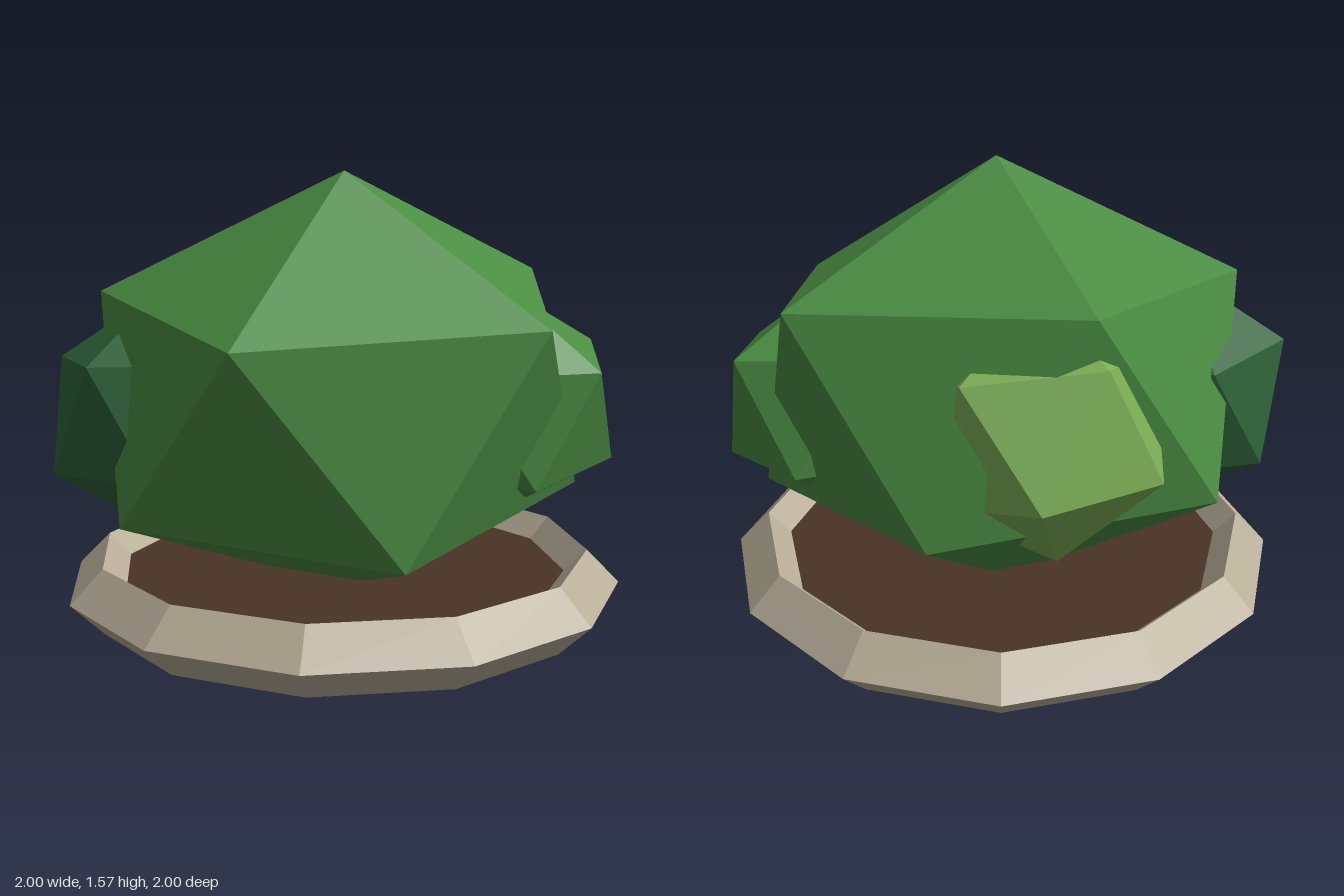
import * as THREE from 'three';
import { ConvexGeometry } from 'three/addons/geometries/ConvexGeometry.js';

const material = (color) => new THREE.MeshStandardMaterial({ color, flatShading: true });

// Squashed, tilted icosahedron fixed by its centre and the corners of one face.
// The neighbour across each edge follows from the golden ratio; the rest mirror through the centre.
function foliage(name, color, centre, face) {
  const c = new THREE.Vector3(...centre);
  const v = face.map((p) => new THREE.Vector3(...p).sub(c));
  const across = v.map((opposite, i) =>
    v[(i + 1) % 3].clone().add(v[(i + 2) % 3]).multiplyScalar(0.618034).sub(opposite));
  const half = [...v, ...across];
  const points = [...half, ...half.map((p) => p.clone().negate())];
  const mesh = new THREE.Mesh(new ConvexGeometry(points), material(color));
  mesh.name = name;
  mesh.position.copy(c);
  return mesh;
}

export function createModel() {
  const group = new THREE.Group();
  group.name = 'bushPlanter';

  // Twelve-sided stone rim with a diamond section
  const rim = new THREE.Mesh(new THREE.TorusGeometry(0.885, 0.115, 4, 12), material(0xb8ae98));
  rim.name = 'stoneRim';
  rim.rotation.x = Math.PI / 2;
  rim.position.y = 0.115;
  group.add(rim);

  // Soil disc inside the rim
  const soil = new THREE.Mesh(new THREE.CylinderGeometry(0.805, 0.805, 0.11, 12), material(0x4a3426));
  soil.name = 'soil';
  soil.position.y = 0.095;
  group.add(soil);

  // Main bush and three smaller clumps growing out of it
  group.add(
    foliage('mainBush', 0x4a8c42, [0, 0.8, 0],
      [[-0.04, 1.57, 0.11], [-0.63, 1.03, 0.64], [0.385, 1.065, 0.77]]),
    foliage('leftClump', 0x4a8c42, [0.51, 0.75, 0.24],
      [[0.69, 0.895, 0.605], [0.915, 0.96, 0.21], [0.9, 0.545, 0.385]]),
    foliage('rightClump', 0x2d6238, [-0.61, 0.715, -0.235],
      [[-0.92, 0.91, -0.45], [-0.915, 0.92, -0.02], [-1, 0.52, -0.23]]),
    foliage('backClump', 0x7bae55, [0.12, 0.82, -0.5],
      [[0.37, 0.74, -0.88], [-0.1, 0.71, -0.84], [0.1, 1.12, -0.81]]),
  );
  return group;
}
